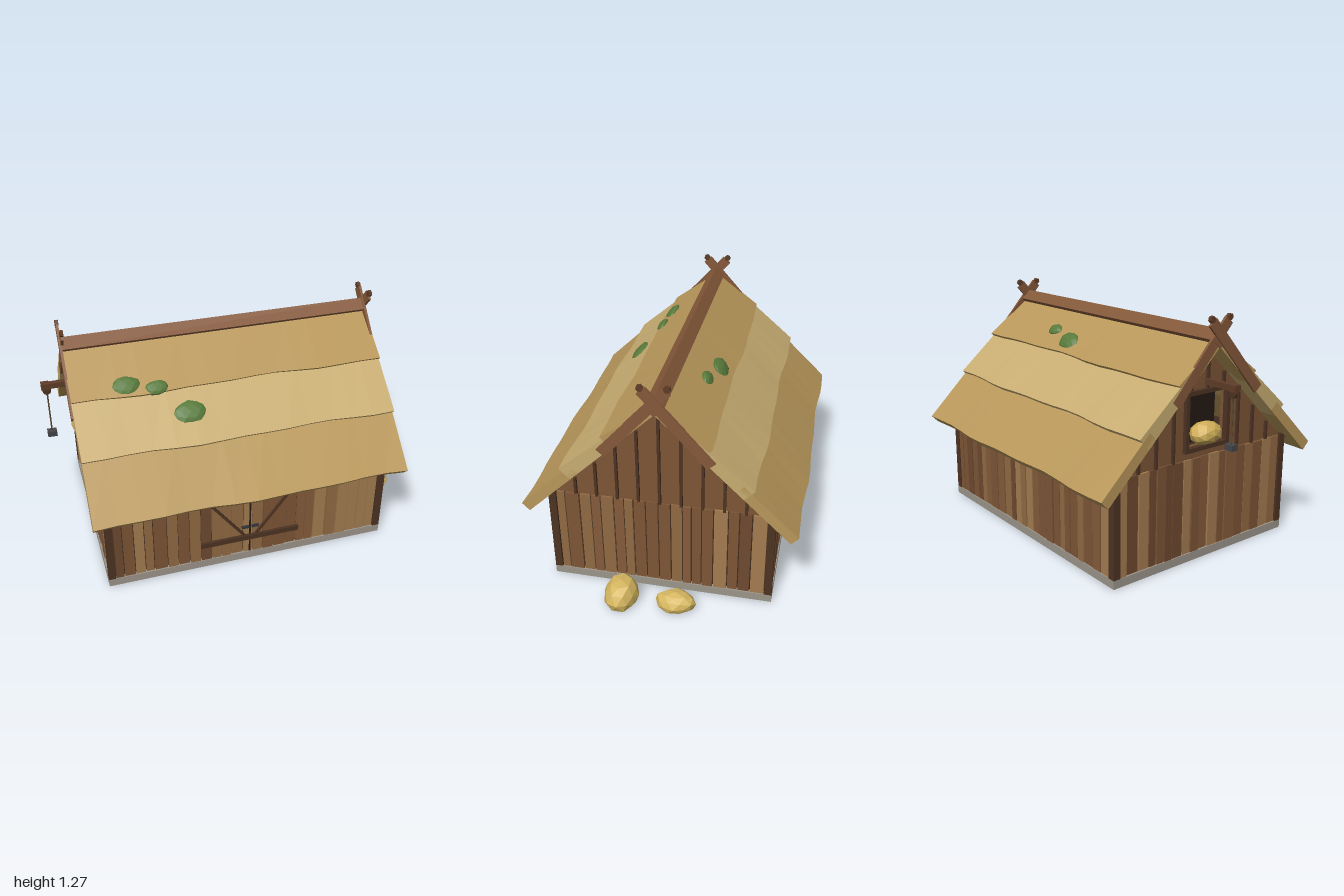
import * as THREE from 'three';

const CX = -0.027;           // middle of the house along x
const HX = 0.782, HZ = 0.59; // half size of the base
const SLOPE = 0.773;         // roof pitch
const APEX = 1.115;          // underside of the roof at the ridge

const mats = {};
const mat = (color) => (mats[color] ??= new THREE.MeshStandardMaterial({ color, flatShading: true }));
const WOOD = 0x7d5536, DARK = 0x4d3323, BEAM = 0x5f3d28, RIDGE = 0x85593a;
const PLANKS = [0x7d5536, 0x6f4a2f, 0x855c3b, 0xa37c50, 0x7d5536, 0x916a43];

function rng(seed) {
  return () => (seed = (seed * 16807) % 2147483647) / 2147483647;
}

function add(parent, name, geo, color, x = 0, y = 0, z = 0) {
  const m = new THREE.Mesh(geo, mat(color));
  m.name = name;
  m.position.set(x, y, z);
  parent.add(m);
  return m;
}
const box = (parent, name, color, w, h, d, x, y, z) =>
  add(parent, name, new THREE.BoxGeometry(w, h, d), color, x, y, z);

// Group turned about y, for the four walls and two gables
function side(parent, name, turn) {
  const g = new THREE.Group();
  g.name = name;
  g.rotation.y = turn;
  parent.add(g);
  return g;
}

// Row of uneven vertical planks facing local +z, with corner posts
function plankWall(parent, half, out, top, count, seed) {
  const r = rng(seed);
  const widths = Array.from({ length: count }, () => 0.75 + r() * 0.5);
  const scale = (2 * half - 0.08) / widths.reduce((a, b) => a + b, 0);
  let x = -half + 0.04;
  for (const w0 of widths) {
    const w = w0 * scale, depth = 0.012 + r() * 0.008, h = top - 0.045 - r() * 0.01;
    const color = PLANKS[Math.floor(r() * PLANKS.length)];
    box(parent, 'wallPlank', color, w - 0.006, h, depth, x + w / 2, 0.045 + h / 2, out - 0.022 + depth / 2);
    x += w;
  }
  for (const s of [-1, 1])
    box(parent, 'cornerPost', DARK, 0.04, top - 0.045, 0.04, s * (half - 0.02), 0.045 + (top - 0.045) / 2, out - 0.02);
}

// Thatch course in slope space: z runs down the slope, y away from it
function thatch(parent, color, s0, s1, n0, n1, phase) {
  const geo = new THREE.BoxGeometry(1.694, 1, 1, 14, 1, 1);
  const p = geo.attributes.position;
  for (let i = 0; i < p.count; i++) {
    const x = p.getX(i), low = p.getZ(i) > 0, up = p.getY(i) > 0;
    const wave = Math.sin(x * 6 + phase) * 0.006 + Math.sin(x * 13 + phase * 2) * 0.004;
    p.setZ(i, low ? s1 + wave : s0);
    p.setY(i, up ? (low ? n1 + wave * 0.5 : n0) : 0);
  }
  geo.computeVertexNormals();
  add(parent, 'thatchCourse', geo, color);
}

// Lumpy low-poly heap, cut flat at its foot
function heap(parent, name, color, rx, ry, rz, x, y, z, seed, floor = -2) {
  const r = rng(seed), seen = {};
  const geo = new THREE.IcosahedronGeometry(1, 1);
  const p = geo.attributes.position, v = new THREE.Vector3();
  for (let i = 0; i < p.count; i++) {
    v.fromBufferAttribute(p, i);
    const key = v.toArray().map((c) => Math.round(c * 100)).join();
    v.multiplyScalar((seen[key] ??= 0.92 + r() * 0.14));
    p.setXYZ(i, v.x * rx, Math.max(v.y * ry, floor), v.z * rz);
  }
  geo.computeVertexNormals();
  return add(parent, name, geo, color, x, y, z);
}

function gableEnd(parent, hasLoft) {
  const half = 0.56, peak = 1.095, foot = 0.55;
  const shape = new THREE.Shape();
  shape.moveTo(-half, foot).lineTo(half, foot).lineTo(0, peak).closePath();
  if (hasLoft) {
    const hole = new THREE.Path();
    hole.moveTo(-0.13, 0.61).lineTo(-0.13, 0.88).lineTo(0.13, 0.88).lineTo(0.13, 0.61).closePath();
    shape.holes.push(hole);
  }
  add(parent, 'gablePanel', new THREE.ExtrudeGeometry(shape, { depth: 0.03, bevelEnabled: false }), WOOD, 0, 0, HX - 0.045);
  for (let i = -4; i <= 4; i++) {
    const x = i * 0.11, top = peak - 0.973 * (Math.abs(x) + 0.007) - 0.01;
    const low = hasLoft && Math.abs(i) < 2 ? 0.9 : foot;
    box(parent, 'gableBatten', DARK, 0.014, top - low, 0.02, x, (top + low) / 2, HX - 0.01);
  }
}

export function createModel() {
  const model = new THREE.Group();
  model.name = 'thatchedBarn';
  const barn = new THREE.Group();
  barn.name = 'barn';
  barn.position.x = CX;
  model.add(barn);

  // Stone base and dark inner core behind the planks
  box(barn, 'stoneBase', 0x9c958a, HX * 2, 0.045, HZ * 2, 0, 0.0225, 0);
  box(barn, 'wallCore', 0x3f2a1d, HX * 2 - 0.044, 0.49, HZ * 2 - 0.044, 0, 0.29, 0);

  // Long walls
  const front = side(barn, 'frontWall', 0), back = side(barn, 'backWall', Math.PI);
  plankWall(front, HX, HZ, 0.53, 25, 11);
  plankWall(back, HX, HZ, 0.53, 25, 47);

  // End walls and gables
  const right = side(barn, 'rightEnd', -Math.PI / 2), left = side(barn, 'leftEnd', -Math.PI / 2);
  right.rotation.y = Math.PI / 2;
  for (const [g, seed, loft] of [[left, 83, false], [right, 129, false]].map(([g, s]) => [g, s, g === left])) {
    plankWall(g, HZ, HX, 0.555, 18, seed);
    gableEnd(g, loft);
  }

  // Double door with cross bars, slanted braces and handles
  const door = new THREE.Group();
  door.name = 'door';
  barn.add(door);
  for (const y of [0.155, 0.47]) box(door, 'doorBar', DARK, 0.555, 0.03, 0.016, 0, y, HZ + 0.004);
  for (const s of [-1, 1]) {
    const brace = box(door, 'doorBrace', DARK, 0.014, 0.39, 0.012, s * 0.143, 0.315, HZ + 0.002);
    brace.rotation.z = -s * 0.65;
    box(door, 'doorHandle', 0x333338, 0.04, 0.01, 0.015, s * 0.028, 0.227, HZ + 0.004);
  }
  box(door, 'doorGap', 0x2a1c14, 0.008, 0.42, 0.006, 0, 0.26, HZ - 0.002);

  // Two roof slopes, each with three thatch courses and a pair of crossed end boards
  const moss = [
    [[-0.585, 0.075, 0.225], [-0.435, 0.06, 0.25], [-0.285, 0.09, 0.36]],
    [[0.105, 0.078, 0.2], [0.29, 0.056, 0.165]],
  ];
  for (const k of [0, 1]) {
    const half = side(barn, k ? 'backRoof' : 'frontRoof', k * Math.PI);
    const slope = new THREE.Group();
    slope.name = 'roofSlope';
    slope.position.y = APEX;
    slope.rotation.x = SLOPE;
    half.add(slope);
    thatch(slope, 0xb8975a, 0.55, 0.938, 0.055, 0.056, 1 + k * 2);
    thatch(slope, 0xc8ad72, 0.24, 0.606, 0.056, 0.079, 2.5 + k);
    thatch(slope, 0xb8975a, 0, 0.3, 0.035, 0.077, 4 + k * 2);
    for (const e of [-1, 1]) {
      const outer = (e > 0) === (k === 1);
      const x = (k ? -e : e) * (outer ? 0.85 : 0.841);
      const board = box(slope, 'crossedEndBoard', RIDGE, 0.014, 0.055, 0.5, x, 0.033, 0.118);
      board.rotation.x = 0.07;
      const knob = add(slope, 'boardKnob', new THREE.CylinderGeometry(0.018, 0.018, 0.018, 6), BEAM, x, 0.056, -0.143);
      knob.rotation.z = Math.PI / 2;
    }
    for (const [x, r, z] of moss[k]) {
      const s = (z - 0.05) / Math.cos(SLOPE);
      const n = s < 0.3 ? 0.035 + s * 0.14 : 0.056 + (s - 0.24) * 0.063;
      heap(slope, 'mossPatch', 0x587a3b, r, 0.02, r * 0.68, (k ? -1 : 1) * (x - CX), n, s, 7 + Math.round(r * 1000));
    }
  }
  const ridge = box(barn, 'ridgeBeam', RIDGE, 1.7, 0.07, 0.07, 0, 1.155, 0);
  ridge.rotation.x = Math.PI / 4;

  // Loft opening with frame, hay and hoist on the left end
  box(left, 'loftShadow', 0x241913, 0.28, 0.29, 0.01, 0, 0.745, HX - 0.1);
  for (const y of [0.6, 0.89]) box(left, 'loftFrame', DARK, 0.3, 0.022, 0.03, 0, y, HX - 0.008);
  for (const s of [-1, 1]) box(left, 'loftFrame', DARK, 0.022, 0.29, 0.03, s * 0.139, 0.745, HX - 0.008);
  heap(left, 'loftHay', 0xcfae58, 0.1, 0.06, 0.07, 0, 0.67, HX - 0.01, 21);
  box(left, 'hoistBeam', BEAM, 0.03, 0.03, 0.25, 0, 0.935, 0.848);
  box(left, 'hoistBeamEnd', BEAM, 0.04, 0.034, 0.04, 0, 0.935, 0.952);
  const pulley = add(left, 'pulley', new THREE.CylinderGeometry(0.022, 0.022, 0.018, 10), DARK, 0, 0.905, 0.945);
  pulley.rotation.z = Math.PI / 2;
  add(left, 'hoistRope', new THREE.CylinderGeometry(0.004, 0.004, 0.25, 6), 0x5a4630, 0, 0.775, 0.945);
  box(left, 'hoistHook', 0x45454a, 0.04, 0.03, 0.05, 0, 0.64, 0.945);

  // Hay heaps by the right end
  heap(model, 'hayHeap', 0xd4b55f, 0.107, 0.095, 0.095, 0.893, 0.05, 0.18, 5, -0.05);
  heap(model, 'hayHeap', 0xd4b55f, 0.07, 0.065, 0.105, 0.89, 0.04, -0.108, 9, -0.04);
  return model;
}
